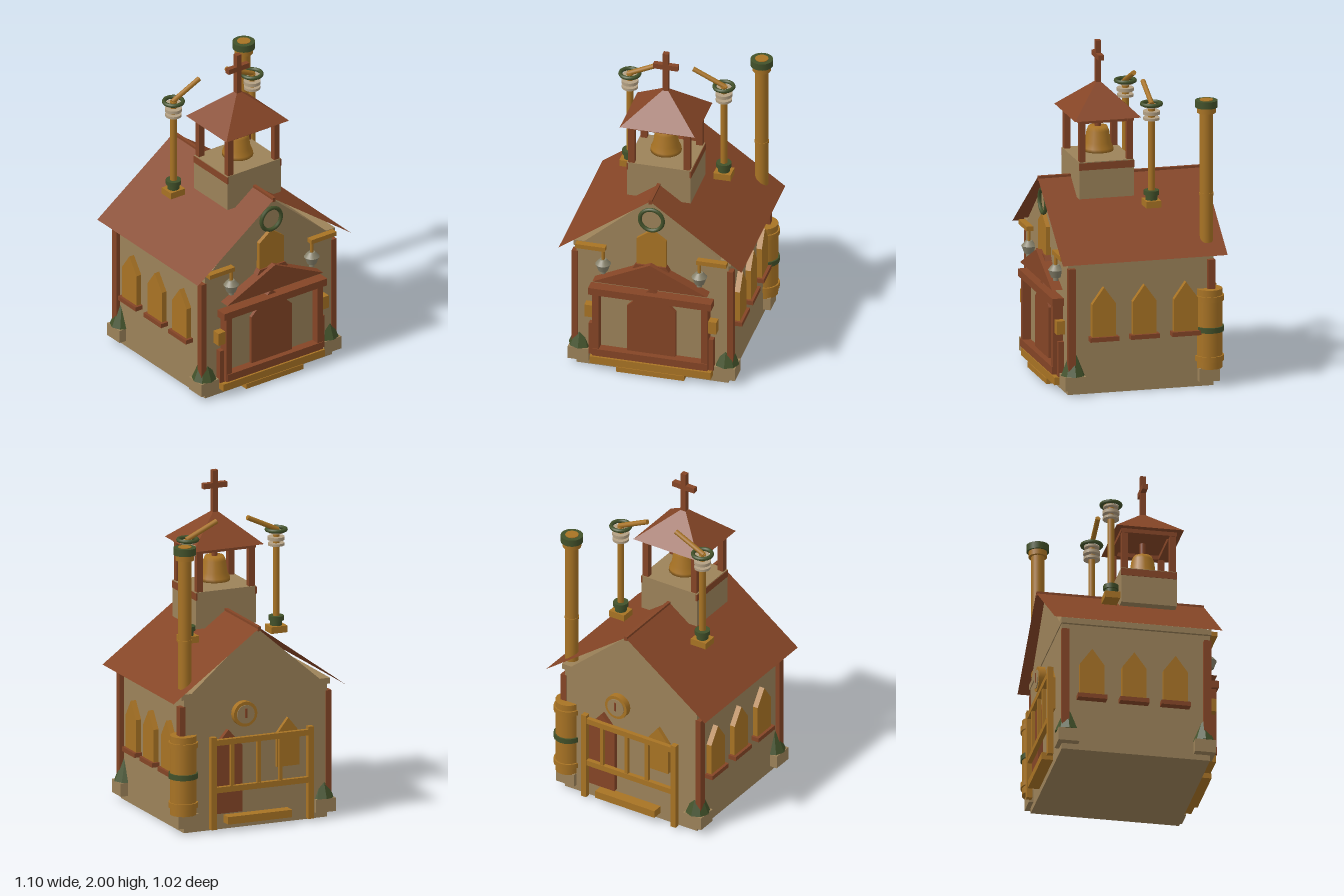
import * as THREE from 'three';

export function createModel() {
  const model = new THREE.Group();
  const mat = (name, color) => {
    const m = new THREE.MeshStandardMaterial({ color });
    m.name = name;
    return m;
  };
  const stone = mat('sandstone', 0x9c8259);
  const wood = mat('red wood', 0x854526);
  const brass = mat('brass', 0xa87324);
  const green = mat('dark green', 0x42512a);
  const pale = mat('pale ceramic', 0xb3a083);
  const grey = mat('lamp glass', 0x85806a);
  const roofMat = mat('roof tiles', 0x854526);
  roofMat.side = THREE.DoubleSide;

  // Helpers
  const add = (name, geo, material, x = 0, y = 0, z = 0) => {
    const m = new THREE.Mesh(geo, material);
    m.name = name;
    m.position.set(x, y, z);
    model.add(m);
    return m;
  };
  // Box given by its limits on each axis
  const box = (name, material, x0, x1, y0, y1, z0, z1) =>
    add(name, new THREE.BoxGeometry(x1 - x0, y1 - y0, z1 - z0), material,
      (x0 + x1) / 2, (y0 + y1) / 2, (z0 + z1) / 2);
  const cyl = (name, material, r, y0, y1, x, z, rTop = r, seg = 20) =>
    add(name, new THREE.CylinderGeometry(rTop, r, y1 - y0, seg), material, x, (y0 + y1) / 2, z);
  const plate = (name, material, pts, depth, z = 0) =>
    add(name, new THREE.ExtrudeGeometry(new THREE.Shape(pts.map(p => new THREE.Vector2(...p))),
      { depth, bevelEnabled: false }), material, 0, 0, z);
  const arch = (w, y0, y1, top) => [[-w, y0], [w, y0], [w, y1], [0, top], [-w, y1]];

  // Walls and gables
  box('walls', stone, -0.457, 0.457, 0, 0.8, -0.44, 0.44);
  plate('gable', stone, [[-0.475, 0.8], [0.475, 0.8], [0.475, 0.835], [0.41, 0.835],
    [0, 1.192], [-0.41, 0.835], [-0.475, 0.835]], 0.89, -0.445);

  // Thin roof sheets and ridge
  for (const s of [-1, 1]) {
    const sheet = add(s > 0 ? 'roofLeft' : 'roofRight',
      new THREE.PlaneGeometry(Math.hypot(0.55, 0.4), 0.995).rotateX(-Math.PI / 2),
      roofMat, s * 0.275, 1.0, -0.002);
    sheet.rotation.z = -s * Math.atan2(0.4, 0.55);
  }
  box('ridge', wood, -0.01, 0.01, 1.18, 1.207, -0.498, 0.494);

  for (const s of [-1, 1]) {
    // Corner posts
    for (const z of [-0.422, 0.422])
      box('cornerPost', wood, s * 0.467 - 0.018, s * 0.467 + 0.018, 0.04, 0.76, z - 0.022, z + 0.022);

    // Side windows with sills
    for (const z of [0.23, -0.015, -0.265]) {
      const w = plate('sideWindow', brass, arch(0.072, 0.34, 0.54, 0.64), 0.035);
      w.rotation.y = s * Math.PI / 2;
      w.position.set(s * 0.455, 0, z);
      box('windowSill', wood, s * 0.48 - 0.027, s * 0.48 + 0.027, 0.318, 0.345, z - 0.087, z + 0.087);
    }

    // Hanging lamps at the front
    box('lampBracket', brass, s * 0.365 - 0.09, s * 0.365 + 0.09, 0.805, 0.832, 0.445, 0.485);
    cyl('lampRod', brass, 0.01, 0.74, 0.81, s * 0.29, 0.467);
    cyl('lampCap', grey, 0.046, 0.715, 0.745, s * 0.29, 0.467, 0.02);
    cyl('lampGlass', grey, 0.028, 0.67, 0.715, s * 0.29, 0.467, 0.044);
    cyl('lampFoot', grey, 0.016, 0.65, 0.67, s * 0.29, 0.467);

    // Porch posts, side strips and wall boxes
    box('porchPost', wood, s * 0.328 - 0.02, s * 0.328 + 0.02, 0.1, 0.52, 0.44, 0.5);
    box('porchStrip', wood, s * 0.357 - 0.018, s * 0.357 + 0.018, 0.09, 0.3, 0.44, 0.475);
    box('wallBox', brass, s * 0.37 - 0.027, s * 0.37 + 0.027, 0.35, 0.43, 0.44, 0.49);

    // Roof poles with wheel and lever
    const x = s * 0.283, z = -0.113;
    box('poleBase', brass, x - 0.052, x + 0.052, 1.055, 1.095, z - 0.045, z + 0.045);
    cyl('poleCollar', green, 0.035, 1.095, 1.13, x, z);
    cyl('poleCollarRim', green, 0.045, 1.125, 1.152, x, z);
    cyl('pole', brass, 0.02, 1.09, 1.67, x, z);
    cyl('poleRing', pale, 0.048, 1.575, 1.59, x, z);
    cyl('poleRing', pale, 0.05, 1.608, 1.628, x, z);
    add('poleWheel', new THREE.TorusGeometry(0.056, 0.012, 8, 24).rotateX(Math.PI / 2), green, x, 1.67, z);
    cyl('poleHub', pale, 0.045, 1.65, 1.662, x, z);
    const lever = add('lever', new THREE.CylinderGeometry(0.015, 0.015, 0.215, 10), brass,
      s * 0.195, 1.715, z);
    lever.rotation.z = s * Math.atan2(0.19, 0.09);
  }

  // Planters at three corners and a plinth at the fourth
  for (const [x, z] of [[0.44, 0.405], [-0.44, 0.405], [-0.44, -0.405], [0.44, -0.405]]) {
    box('planter', stone, x - 0.063, x + 0.063, 0.035, 0.115, z - 0.062, z + 0.062);
    if (x > 0 && z < 0) continue;
    const cone = new THREE.ConeGeometry(0.073, 0.18, 8).toNonIndexed();
    cone.computeVertexNormals();
    add('shrub', cone, green, x, 0.205, z);
  }

  // Boiler with bands
  cyl('boiler', brass, 0.078, 0.11, 0.585, 0.45, -0.415, 0.078, 16);
  for (const [y, m] of [[0.53, brass], [0.345, green], [0.17, brass]])
    cyl('boilerBand', m, 0.087, y - 0.016, y + 0.016, 0.45, -0.415);

  // Chimney pipe
  cyl('chimney', brass, 0.039, 0.86, 1.65, 0.434, -0.403);
  cyl('chimneyJoint', brass, 0.042, 1.14, 1.155, 0.434, -0.403);
  cyl('chimneyCollar', brass, 0.055, 1.635, 1.668, 0.434, -0.403);
  cyl('chimneyCap', green, 0.066, 1.668, 1.71, 0.434, -0.403);
  cyl('chimneyMouth', brass, 0.039, 1.708, 1.714, 0.434, -0.403);

  // Gable window and ring
  plate('gableWindow', brass, arch(0.088, 0.74, 0.92, 0.985), 0.03, 0.44);
  add('gableRing', new THREE.TorusGeometry(0.07, 0.012, 8, 28), green, 0, 1.055, 0.465);

  // Porch with door and pediment
  plate('porchPanel', stone, [[-0.31, 0.14], [0.31, 0.14], [0.31, 0.52], [-0.31, 0.52]], 0.01, 0.44);
  plate('frontDoor', wood, arch(0.146, 0.14, 0.45, 0.59), 0.03, 0.44);
  box('porchBeam', wood, -0.37, 0.37, 0.515, 0.56, 0.44, 0.51);
  box('porchSill', wood, -0.345, 0.345, 0.1, 0.146, 0.44, 0.505);
  plate('pediment', wood, [[-0.345, 0.605], [0.345, 0.605], [0, 0.767]], 0.065, 0.44);
  plate('pedimentTop', wood, [[-0.11, 0.72], [0.11, 0.72], [0.09, 0.75], [-0.09, 0.75]], 0.04, 0.44);
  box('porchStep', brass, -0.365, 0.365, 0.04, 0.085, 0.43, 0.495);
  box('lowerStep', brass, -0.205, 0.205, 0.008, 0.04, 0.43, 0.5);

  // Bell tower
  const tz = 0.132;
  box('towerBase', stone, -0.192, 0.192, 1.1, 1.32, tz - 0.165, tz + 0.165);
  for (const s of [-1, 1]) {
    box('towerTrim', wood, s * 0.19 - 0.005, s * 0.19 + 0.005, 1.272, 1.315, tz - 0.166, tz + 0.166);
    for (const t of [-0.143, 0.143])
      box('towerPost', wood, s * 0.167 - 0.019, s * 0.167 + 0.019, 1.32, 1.56, tz + t - 0.018, tz + t + 0.018);
    box('towerBeam', wood, s * 0.167 - 0.022, s * 0.167 + 0.022, 1.55, 1.58, tz - 0.165, tz + 0.165);
    box('towerBeam', wood, -0.19, 0.19, 1.55, 1.58, tz + s * 0.145 - 0.02, tz + s * 0.145 + 0.02);
  }
  const spire = new THREE.ConeGeometry(Math.SQRT1_2, 0.19, 4).rotateY(Math.PI / 4)
    .scale(0.452, 1, 0.4).toNonIndexed();
  spire.computeVertexNormals();
  add('towerRoof', spire, wood, 0, 1.67, tz);
  box('crossUpright', wood, -0.017, 0.017, 1.74, 2, tz - 0.016, tz + 0.016);
  box('crossArm', wood, -0.075, 0.075, 1.893, 1.925, tz - 0.016, tz + 0.016);

  // Bell
  const bell = [[0, 1.34], [0.092, 1.34], [0.09, 1.36], [0.076, 1.39], [0.066, 1.46], [0.055, 1.485], [0, 1.485]];
  add('bell', new THREE.LatheGeometry(bell.map(p => new THREE.Vector2(...p)), 20), brass, 0, 0, tz);
  cyl('bellHanger', wood, 0.018, 1.48, 1.57, 0, tz);
  cyl('bellClapper', wood, 0.018, 1.32, 1.345, 0, tz);

  // Back door, window and dial
  plate('backDoor', wood, arch(0.088, 0.1, 0.5, 0.6), 0.03, -0.47).position.x = 0.185;
  plate('backWindow', brass, arch(0.072, 0.34, 0.54, 0.63), 0.03, -0.465).position.x = -0.2;
  const disc = (name, m, r, z0, z1) =>
    add(name, new THREE.CylinderGeometry(r, r, z1 - z0, 24).rotateX(Math.PI / 2), m, 0.08, 0.685, (z0 + z1) / 2);
  disc('dialRim', brass, 0.075, -0.48, -0.44);
  disc('dialFace', stone, 0.056, -0.485, -0.478);
  box('dialHand', wood, 0.074, 0.086, 0.665, 0.72, -0.49, -0.484);

  // Back railing and step
  for (const x of [0.29, -0.33]) box('railPost', brass, x - 0.017, x + 0.017, 0.015, 0.57, -0.5, -0.466);
  for (const y of [0.535, 0.25]) box('rail', brass, -0.345, 0.305, y - 0.017, y + 0.017, -0.497, -0.47);
  for (const x of [0.17, 0.0, -0.14]) box('baluster', brass, x - 0.011, x + 0.011, 0.25, 0.53, -0.493, -0.473);
  box('backStep', brass, -0.205, 0.205, 0.04, 0.085, -0.508, -0.44);

  return model;
}
